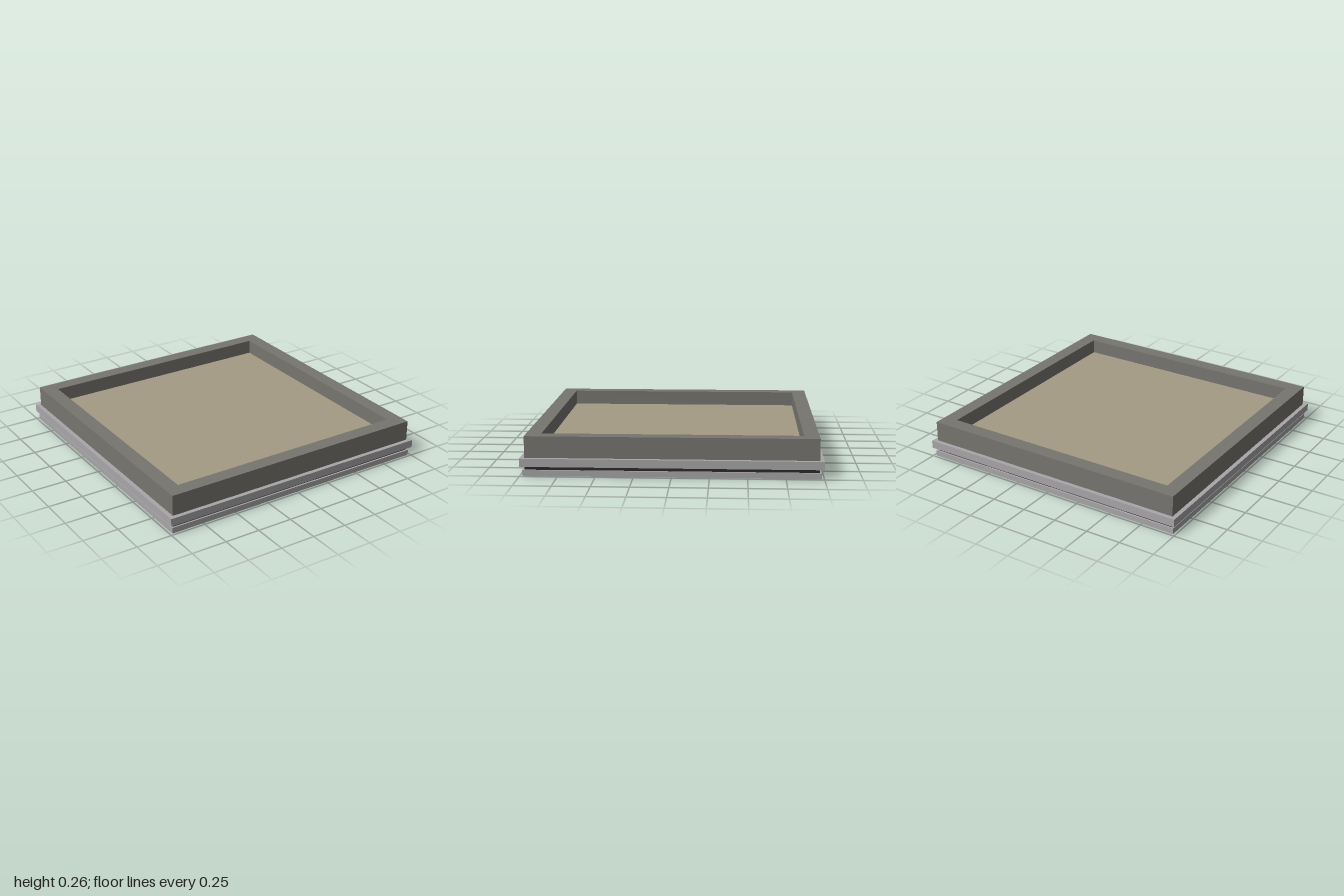
import * as THREE from 'three';

const material = (name, color) => {
  const m = new THREE.MeshStandardMaterial({ color });
  m.name = name;
  return m;
};

// Counter-clockwise square outline with the given half width
const square = (Type, h) => new Type([[-h, -h], [h, -h], [h, h], [-h, h]].map(([x, y]) => new THREE.Vector2(x, y)));

export function createModel() {
  const model = new THREE.Group();
  model.name = 'squareTray';
  const stone = material('dark grey stone', 0x777570);
  const trim = material('light grey trim', 0xa8a6a8);
  const shadowGap = material('near black', 0x2b2728);
  const sand = material('sand', 0xa59b85);

  const add = (name, geometry, mat) => {
    const mesh = new THREE.Mesh(geometry, mat);
    mesh.name = name;
    model.add(mesh);
  };

  // Square slab between two heights
  const slab = (name, half, y0, y1, mat) => {
    const g = new THREE.BoxGeometry(2 * half, y1 - y0, 2 * half);
    add(name, g.translate(0, (y0 + y1) / 2, 0), mat);
  };

  // Square frame between two heights
  const frame = (name, outer, inner, y0, y1, mat) => {
    const shape = square(THREE.Shape, outer);
    shape.holes.push(square(THREE.Path, inner));
    const g = new THREE.ExtrudeGeometry(shape, { depth: y1 - y0, bevelEnabled: false });
    add(name, g.rotateX(-Math.PI / 2).translate(0, y0, 0), mat);
  };

  // Base, with a recessed dark band between two trims
  slab('base', 0.97, 0, 0.04, stone);
  frame('lowerTrim', 0.983, 0.97, 0, 0.04, trim);
  slab('recessedBand', 0.97, 0.04, 0.065, shadowGap);
  frame('upperTrim', 1, 0.868, 0.065, 0.12, trim);

  // Raised rim around the sunken floor
  frame('rim', 0.97, 0.868, 0.12, 0.265, stone);
  slab('floor', 0.868, 0.065, 0.16, sand);

  return model;
}
